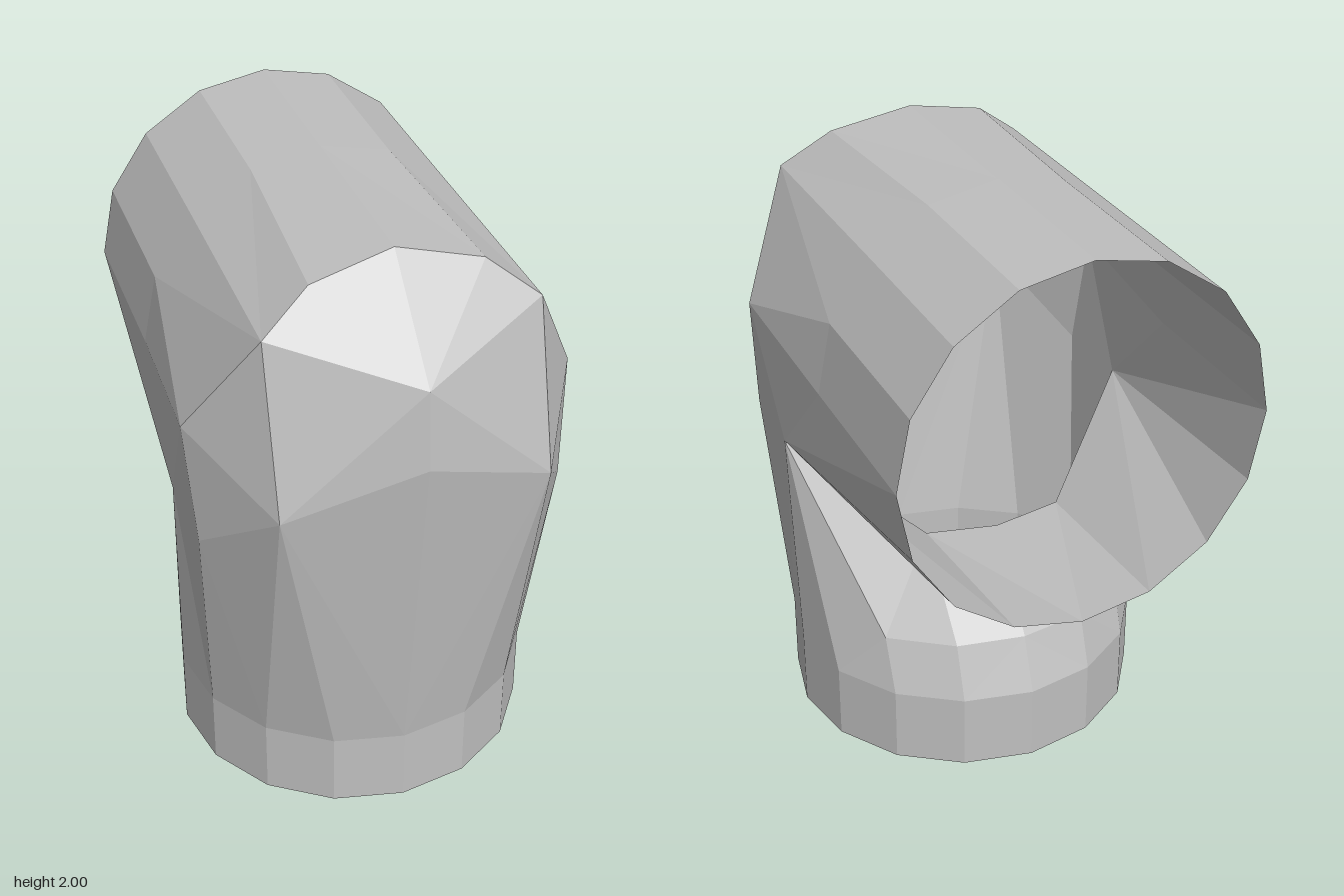
import * as THREE from 'three';

const R = 0.605;
const angle = (k) => (k * Math.PI) / 8;

// Half rings of the two 16-sided pipes (k = 0..8 on the +x side)
const foot = (k, y) => [R * Math.sin(angle(k)), y, 0.095 + R * Math.cos(angle(k))];
const end = (k, z) => [R * Math.sin(angle(k)), 1.39 + 0.61 * Math.cos(angle(k)), z];
const halfRing = (fn, at) => Array.from({ length: 9 }, (_, k) => fn(k, at));

// Fan-triangulates polygons of the +x half and mirrors them to -x
function mirroredMesh(name, polygons, material) {
  const pos = [];
  const mirror = ([x, y, z]) => [-x, y, z];
  for (const p of polygons) {
    for (let i = 1; i < p.length - 1; i++) {
      pos.push(...p[0], ...p[i], ...p[i + 1]);
      pos.push(...mirror(p[0]), ...mirror(p[i + 1]), ...mirror(p[i]));
    }
  }
  const geo = new THREE.BufferGeometry();
  geo.setAttribute('position', new THREE.Float32BufferAttribute(pos, 3));
  geo.computeVertexNormals();
  const mesh = new THREE.Mesh(geo, material);
  mesh.name = name;
  return mesh;
}

export function createModel() {
  const grey = new THREE.MeshStandardMaterial({
    color: 0xc0c0c0, flatShading: true, side: THREE.DoubleSide,
  });
  grey.name = 'pipe grey';

  const g = halfRing(foot, 0);
  const b = halfRing(foot, 0.265);
  const r = halfRing(end, -0.2);
  const t = halfRing(end, -0.845);

  // Blunt front of the bend
  const nose = [0, 1.44, 0.85], brow = [0, 1.7, 0.83];
  const crown = [0, 2, 0.51], crownSide = [0.27, 1.94, 0.545];
  const temple = [0.43, 1.82, 0.61], cheek = [0.43, 1.28, 0.76];
  // Flank and inner corner of the bend
  const flank = [0.632, 1.44, 0.4], lowFlank = [0.605, 1.04, 0.45];
  const pinch = [0.615, 1.04, 0.15];
  const crotchSide = [0.24, 0.765, -0.17], crotch = [0, 0.757, -0.21];
  const s6 = [0.43, 0.45, -0.26], s7 = [0.23, 0.45, -0.4], s8 = [0, 0.45, -0.44];

  const lower = [];
  for (let k = 0; k < 8; k++) lower.push([g[k], g[k + 1], b[k + 1], b[k]]);

  const elbow = [
    // front and sides
    [b[0], b[1], cheek, nose], [b[1], b[2], cheek], [b[2], b[3], lowFlank, cheek],
    [b[3], b[4], pinch, lowFlank], [b[4], b[5], pinch],
    // inner curve
    [b[5], b[6], s6, pinch], [b[6], b[7], s7, s6], [b[7], b[8], s8, s7],
    [s6, crotchSide, pinch], [s6, s7, crotchSide], [s7, s8, crotch, crotchSide],
    // faceted head
    [brow, nose, cheek], [brow, cheek, temple], [brow, temple, crownSide], [brow, crownSide, crown],
    [cheek, flank, temple], [cheek, lowFlank, flank], [lowFlank, pinch, flank],
    // blend into the upper pipe
    [flank, pinch, r[4]], [flank, r[4], r[3]], [flank, r[3], temple],
    [temple, r[3], r[2]], [temple, r[2], r[1], crownSide], [crownSide, r[1], r[0], crown],
  ];

  const upper = [
    [pinch, t[5], t[4], r[4]], [pinch, t[6], t[5]],
    [pinch, crotchSide, t[7], t[6]], [crotchSide, crotch, t[8], t[7]],
  ];
  for (let k = 0; k < 4; k++) upper.push([r[k + 1], t[k + 1], t[k], r[k]]);

  const group = new THREE.Group();
  group.name = 'elbowPipe';
  group.add(
    mirroredMesh('lowerSleeve', lower, grey),
    mirroredMesh('elbowBend', elbow, grey),
    mirroredMesh('upperPipe', upper, grey),
  );
  return group;
}
